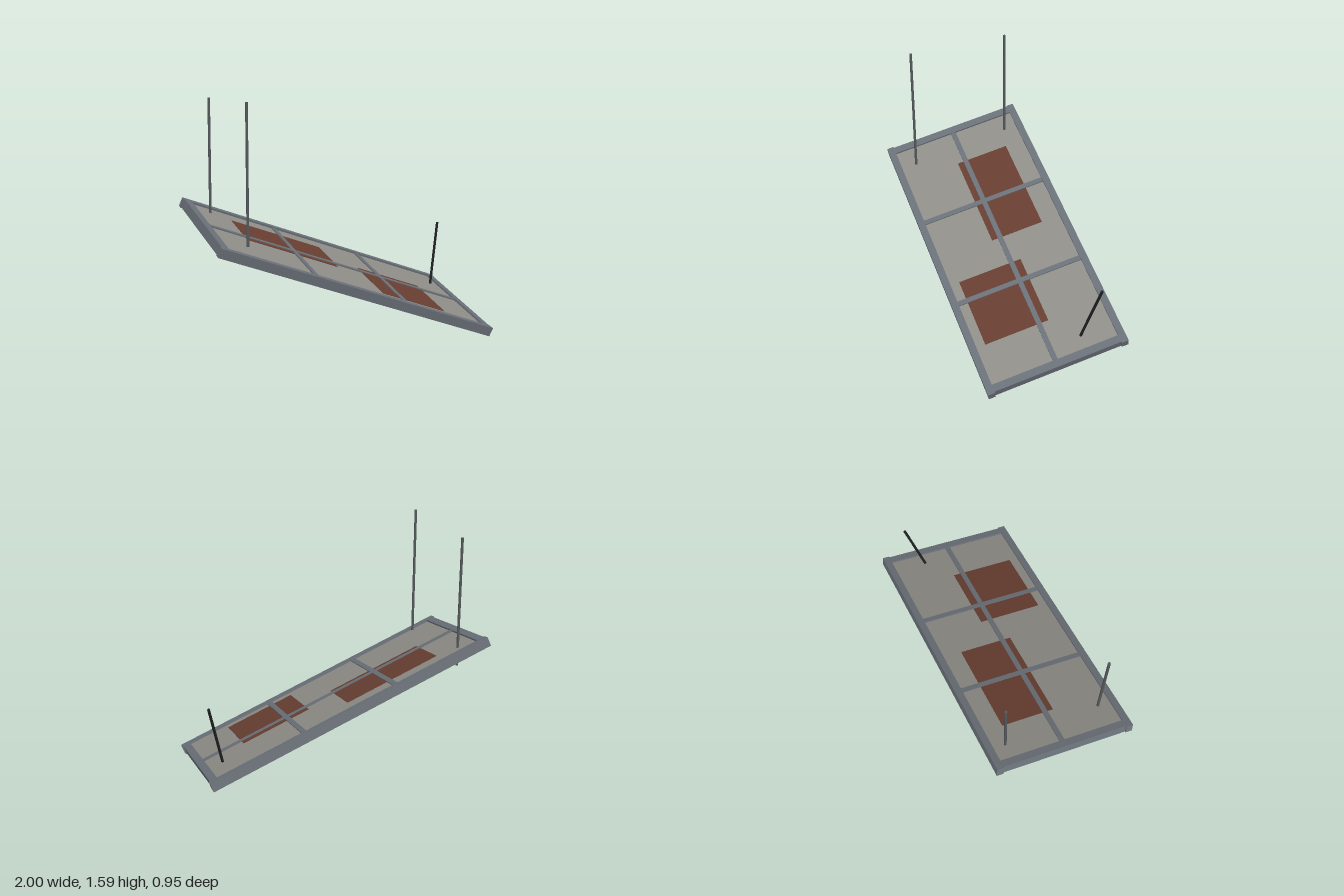
import * as THREE from 'three';

const flat = (name, color) => {
  const m = new THREE.MeshStandardMaterial({ color });
  m.name = name;
  return m;
};

export function createModel() {
  const steel = flat('blue grey steel', 0x6a7078);
  const concrete = flat('grey sheet', 0x8e8c87);
  const rust = flat('rust', 0x673e30);
  const rodSteel = flat('dark steel', 0x54595c);
  const black = flat('black', 0x1e1f20);

  const model = new THREE.Group();
  model.name = 'tiltedPanel';

  // Fallen panel: pitched to the front, then rolled down to +x
  const panel = new THREE.Group();
  panel.name = 'panel';
  panel.rotation.order = 'ZXY';
  panel.rotation.set(0.22, 0, -0.341);
  panel.position.y = 0.468;
  model.add(panel);

  const box = (name, material, w, h, d, x, z) => {
    const mesh = new THREE.Mesh(new THREE.BoxGeometry(w, h, d), material);
    mesh.name = name;
    mesh.position.set(x, 0, z);
    panel.add(mesh);
  };

  const L = 2.024, W = 0.962, H = 0.061, B = 0.047;

  // Sheet inside the frame
  box('sheet', concrete, L - 2 * B, 0.036, W - 2 * B, 0, 0);

  // Outer frame: long beams run slightly past the end beams
  for (const s of [-1, 1]) {
    box('longBeam', steel, L, H, B, 0, s * (W - B) / 2);
    box('endBeam', steel, B + 0.004, H, W - 2 * B, s * (L / 2 - 0.034), 0);
    box('crossBar', steel, 0.034, 0.052, W - 2 * B, s * 0.335, 0);
  }
  box('centreBar', steel, L - 2 * B, 0.052, 0.034, 0, 0);

  // Rust patches showing on both faces of the sheet
  box('rustPatchLarge', rust, 0.674, 0.042, 0.362, -0.36, -0.123);
  box('rustPatchSmall', rust, 0.488, 0.042, 0.438, 0.43, 0.154);

  // Rod between two points
  const rod = (name, material, a, b, r) => {
    const from = new THREE.Vector3(...a), to = new THREE.Vector3(...b);
    const dir = to.clone().sub(from);
    const mesh = new THREE.Mesh(new THREE.CylinderGeometry(r, r, dir.length(), 8), material);
    mesh.name = name;
    mesh.position.copy(from).add(to).multiplyScalar(0.5);
    mesh.quaternion.setFromUnitVectors(new THREE.Vector3(0, 1, 0), dir.normalize());
    model.add(mesh);
  };

  // Upright hanger rods and the loose leaning bar
  for (const z of [-0.335, 0.335]) {
    rod('hangerRod', rodSteel, [-0.76, 0.71, z], [-0.76, 1.59, z], 0.009);
  }
  rod('leaningBar', black, [0.835, 0.25, -0.202], [0.936, 0.674, -0.283], 0.009);

  return model;
}
